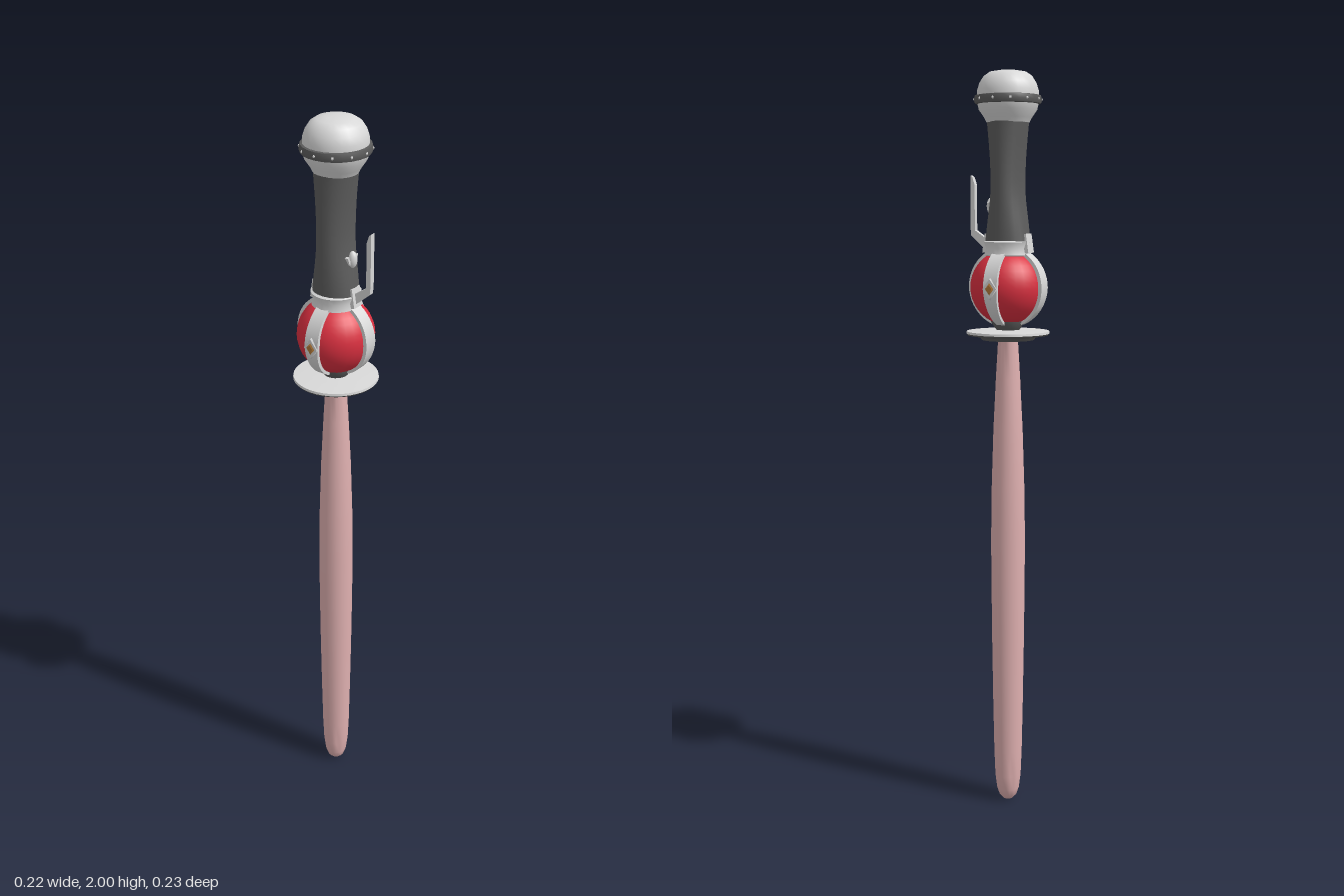
import * as THREE from 'three';
import { toCreasedNormals } from 'three/addons/utils/BufferGeometryUtils.js';

const paint = (name, color) => Object.assign(new THREE.MeshStandardMaterial({ color }), { name });

export function createModel() {
  const root = new THREE.Group();
  root.name = 'sword';
  const pink = paint('pale pink', 0xdfb0b0);
  const red = paint('red', 0xdb3040);
  const pale = paint('pale grey', 0xd8d8d8);
  const dark = paint('dark grey', 0x5c5c5c);
  const gold = paint('bronze', 0xb07838);

  const add = (name, geometry, material, parent = root) => {
    const mesh = new THREE.Mesh(geometry, material);
    mesh.name = name;
    parent.add(mesh);
    return mesh;
  };
  // Turned part from [radius, height] pairs listed from bottom to top
  const turned = (name, points, material, sides = 24) => add(name, toCreasedNormals(
    new THREE.LatheGeometry(points.map(([r, y]) => new THREE.Vector2(r, y)), sides), 0.7), material);

  // Blade, a soft rounded rod that narrows towards the guard
  turned('blade', [[0, 0], [0.014, 0.003], [0.024, 0.014], [0.031, 0.035], [0.036, 0.075], [0.039, 0.15],
    [0.042, 0.3], [0.045, 0.5], [0.047, 0.75], [0.045, 0.9], [0.04, 1.06], [0.033, 1.2], [0.027, 1.3],
    [0.027, 1.32]], pink, 20);

  // Guard: pale plate over a dark stepped underside
  turned('guardUnderside', [[0, 1.304], [0.07, 1.304], [0.076, 1.312], [0.108, 1.317], [0.111, 1.321]], dark, 40);
  turned('guardPlate', [[0.111, 1.321], [0.11, 1.327], [0.05, 1.331], [0, 1.331]], pale, 40);
  turned('guardNeck', [[0.03, 1.328], [0.034, 1.335], [0.046, 1.352], [0.046, 1.365]], dark);

  // Ball with four curved straps
  const ball = add('ball', new THREE.SphereGeometry(0.1, 28, 20), red);
  ball.position.y = 1.443;
  for (let i = 0; i < 4; i++) {
    const arm = new THREE.Group();
    arm.name = 'strap' + (i + 1);
    arm.position.y = 1.443;
    arm.rotation.y = i * Math.PI / 2;
    root.add(arm);
    const strap = new THREE.BoxGeometry(0.04, 2.3, 0.012, 2, 20, 1);
    const p = strap.attributes.position;
    for (let k = 0; k < p.count; k++) {
      const a = p.getY(k), r = 0.101 + p.getZ(k);
      const width = a < 0 ? 1 + a * 0.4 : 1 - 0.1 * a;
      p.setXYZ(k, p.getX(k) * width, r * Math.sin(a), r * Math.cos(a));
    }
    strap.computeVertexNormals();
    add('strapBand', strap, pale, arm);
    // Diamond studs on the front and back straps
    if (i % 2 === 0) {
      const rim = add('diamondRim', new THREE.CylinderGeometry(0.02, 0.022, 0.006, 4), pale, arm);
      rim.rotation.x = Math.PI / 2;
      rim.scale.z = 1.3;
      rim.position.z = 0.107;
      const stud = add('diamondStud', new THREE.CylinderGeometry(0.008, 0.015, 0.005, 4), gold, arm);
      stud.rotation.x = Math.PI / 2;
      stud.scale.z = 1.3;
      stud.position.z = 0.1105;
    }
  }

  // Collar with raised ears on both sides
  turned('collar', [[0.05, 1.522], [0.062, 1.528], [0.058, 1.545], [0.064, 1.562], [0.056, 1.566]], pale);
  for (const s of [-1, 1]) {
    const ear = add('collarEar', new THREE.BoxGeometry(0.012, 0.05, 0.035), pale);
    ear.position.set(s * 0.058, 1.558, 0);
    ear.rotation.z = s * 0.15;
  }

  // Grip, waisted across x and straight along z
  const grip = new THREE.CylinderGeometry(1, 1, 0.32, 24, 12, true);
  const waist = new THREE.CatmullRomCurve3([[0.062, 1.555], [0.054, 1.61], [0.043, 1.69], [0.045, 1.78],
    [0.055, 1.875]].map(([x, y]) => new THREE.Vector3(x, y, 0)));
  const g = grip.attributes.position;
  for (let k = 0; k < g.count; k++) {
    const c = waist.getPoint((g.getY(k) + 0.16) / 0.32);
    g.setXYZ(k, g.getX(k) * c.x, c.y, g.getZ(k) * 0.057);
  }
  grip.computeVertexNormals();
  add('grip', grip, dark);

  // Pommel: flared cup, dark studded ring and flattened dome
  turned('pommelCup', [[0.045, 1.866], [0.056, 1.868], [0.062, 1.88], [0.076, 1.9], [0.08, 1.918]], pale);
  turned('pommelRing', [[0.076, 1.914], [0.086, 1.916], [0.089, 1.925], [0.086, 1.936], [0.076, 1.938]], dark);
  turned('pommelDome', [[0.08, 1.932], [0.08, 1.95], [0.074, 1.968], [0.063, 1.985], [0.048, 1.995],
    [0.025, 1.999], [0, 2]], pale);
  for (let i = 0; i < 12; i++) {
    const a = i * Math.PI / 6;
    const stud = add('ringStud', new THREE.SphereGeometry(0.004, 6, 4), pale);
    stud.position.set(0.087 * Math.sin(a), 1.926, 0.087 * Math.cos(a));
  }

  // Bent guard hook on the left side
  const hook = new THREE.Shape([[0.05, 1.545], [0.062, 1.54], [0.106, 1.578], [0.108, 1.6], [0.108, 1.735],
    [0.102, 1.73], [0.095, 1.71], [0.095, 1.592], [0.05, 1.562]].map(([x, y]) => new THREE.Vector2(x, y)));
  const hookGeometry = new THREE.ExtrudeGeometry(hook, { depth: 0.014, bevelEnabled: false });
  hookGeometry.translate(0, 0, -0.007);
  add('hook', hookGeometry, pale);

  // Small trigger knob between grip and hook
  const knob = add('triggerKnob', new THREE.SphereGeometry(0.013, 12, 8), pale);
  knob.scale.set(0.9, 1.7, 0.9);
  knob.position.set(0.05, 1.655, 0);
  for (const s of [-1, 1]) {
    const pin = add('triggerPin', new THREE.BoxGeometry(0.01, 0.022, 0.006), pale);
    pin.position.set(0.046, 1.655, s * 0.015);
    pin.rotation.x = s * 0.4;
  }
  return root;
}
